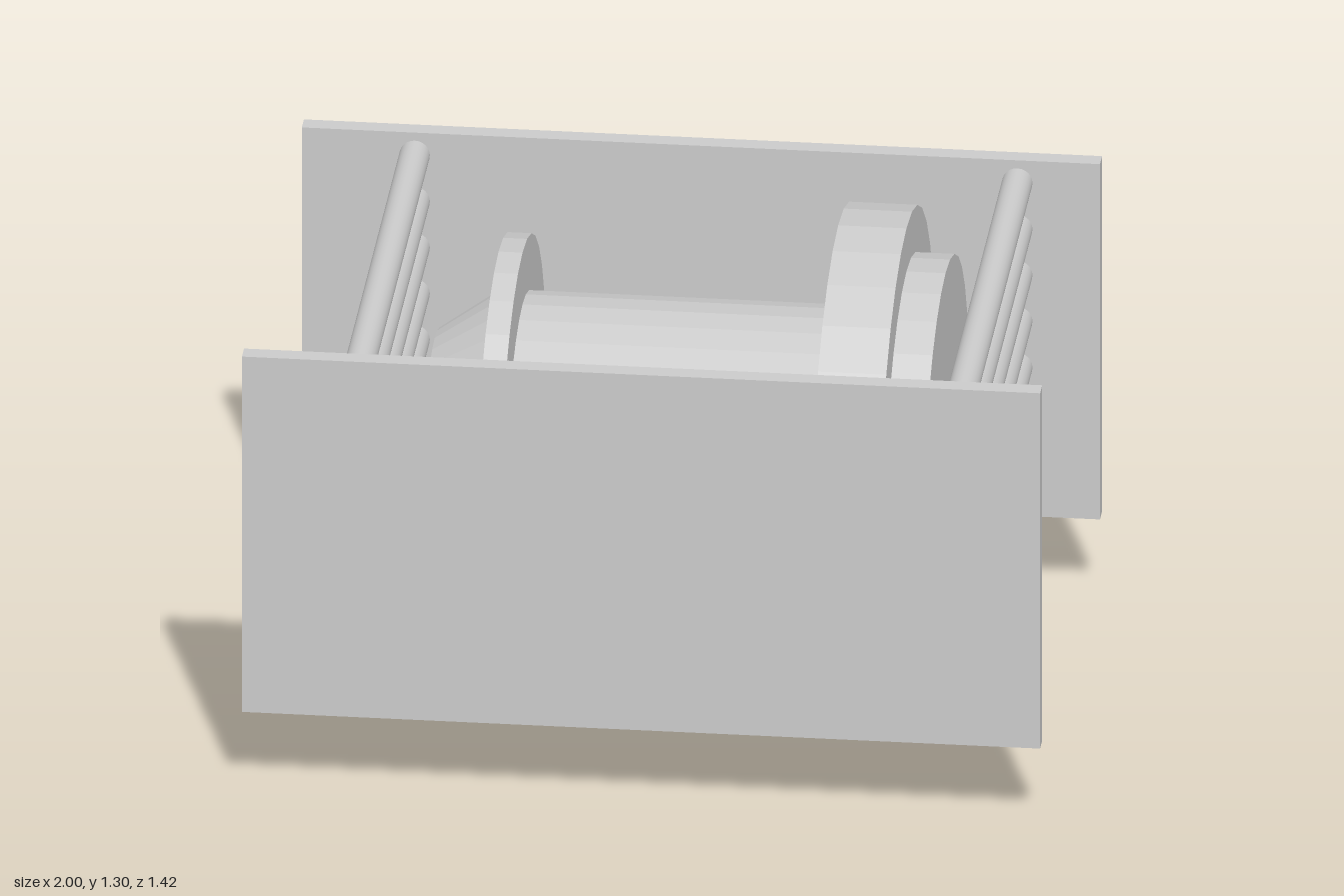
import * as THREE from 'three';

export function createModel() {
  const model = new THREE.Group();
  const smooth = new THREE.MeshStandardMaterial({ color: 0xcccccc });
  const faceted = new THREE.MeshStandardMaterial({ color: 0xcccccc, flatShading: true });

  const add = (name, geometry, material, x, y, z, parent = model) => {
    const mesh = new THREE.Mesh(geometry, material);
    mesh.name = name;
    mesh.position.set(x, y, z);
    parent.add(mesh);
    return mesh;
  };

  // Two upright side plates
  const plate = new THREE.BoxGeometry(2, 0.975, 0.048);
  add('frontPlate', plate, faceted, 0, 0.708, 0.684);
  add('backPlate', plate, faceted, 0, 0.708, -0.684);

  // Ladders of crossbars joining the plates at both ends
  const bar = new THREE.CylinderGeometry(0.038, 0.038, 1.32, 24).rotateX(Math.PI / 2);
  for (const [name, x] of [['leftCrossbars', 0.793], ['rightCrossbars', -0.717]]) {
    const bars = new THREE.Group();
    bars.name = name;
    for (let i = 0; i < 8; i++) add('crossbar', bar, smooth, x, 0.25 + i * 0.1265, 0, bars);
    model.add(bars);
  }

  // Winch drum: round sections strung along the x axis
  const drum = new THREE.Group();
  drum.name = 'drumAssembly';
  drum.position.set(0, 0.65, -0.004);
  model.add(drum);
  const section = (name, x0, x1, r0, r1 = r0) => {
    const geometry = new THREE.CylinderGeometry(r0, r1, x1 - x0, 32).rotateZ(Math.PI / 2);
    add(name, geometry, faceted, (x0 + x1) / 2, 0, 0, drum);
  };
  section('taperedEnd', -0.595, -0.435, 0.29, 0.4);
  section('smallFlange', -0.435, -0.375, 0.535);
  section('barrel', -0.375, 0.416, 0.393);
  section('largeFlange', 0.416, 0.587, 0.65);
  section('endDisc', 0.587, 0.685, 0.532);

  return model;
}
